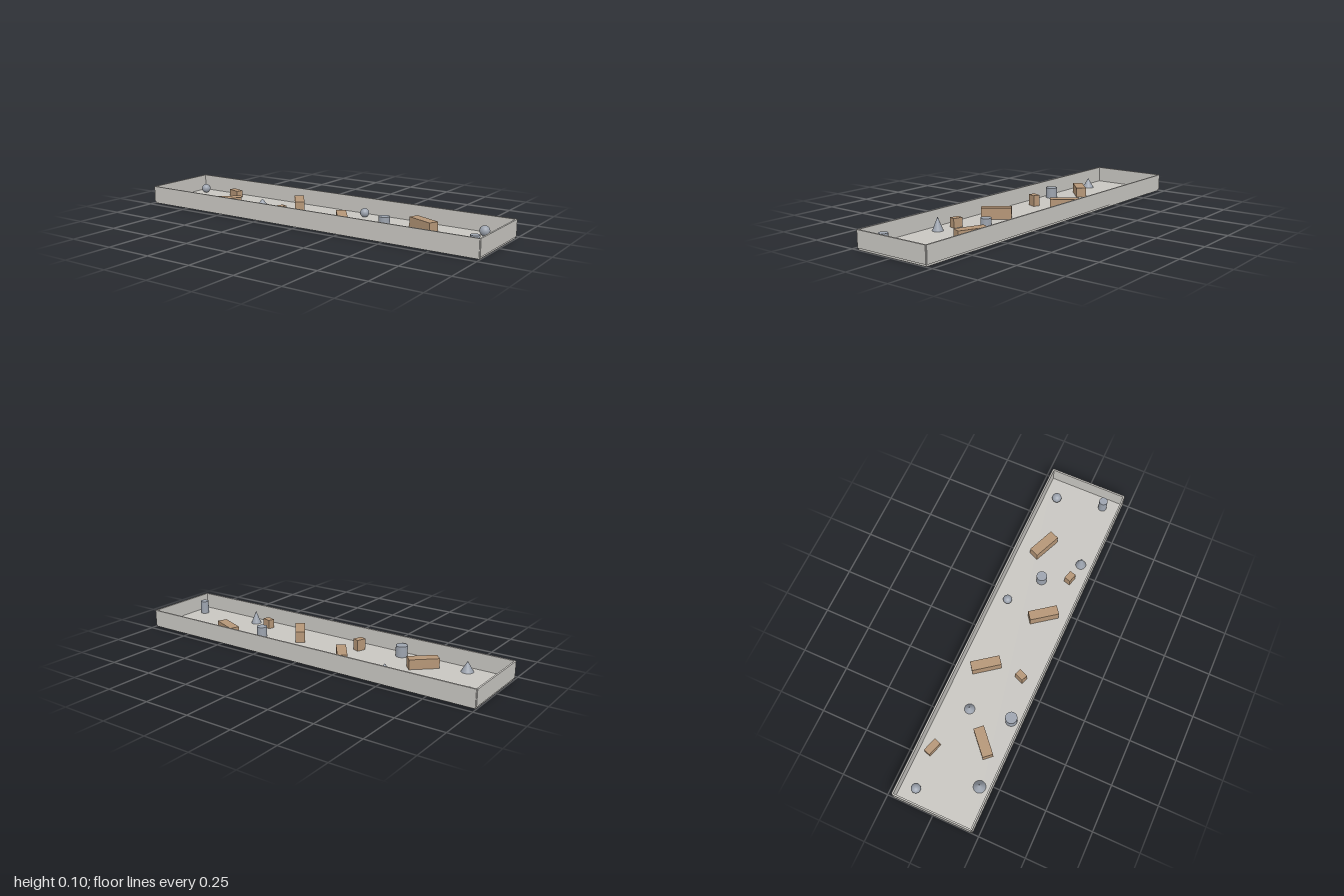
import * as THREE from 'three';

export function createModel() {
  const model = new THREE.Group();
  model.name = 'trayWithBlocks';

  const concrete = new THREE.MeshStandardMaterial({ color: 0xc8c6c1 });
  concrete.name = 'concreteGrey';
  const wood = new THREE.MeshStandardMaterial({ color: 0xb59677 });
  wood.name = 'woodBrown';
  const metal = new THREE.MeshStandardMaterial({ color: 0x9da4af });
  metal.name = 'metalBlueGrey';

  const FLOOR = 0.01;   // top of the floor slab
  const WALL = 0.086;   // wall height
  const T = 0.009;      // wall thickness
  const X = 0.9955;     // wall centre lines
  const Z = 0.2125;

  function add(name, geometry, material, x, y, z, turn = 0) {
    const mesh = new THREE.Mesh(geometry, material);
    mesh.name = name;
    mesh.position.set(x, y, z);
    mesh.rotation.y = turn;
    model.add(mesh);
  }

  // Tray: floor slab with four walls centred on its edges
  add('floor', new THREE.BoxGeometry(2 * X, FLOOR, 2 * Z), concrete, 0, FLOOR / 2, 0);
  for (const s of [1, -1]) {
    const y = FLOOR + WALL / 2;
    add(s > 0 ? 'frontWall' : 'backWall', new THREE.BoxGeometry(2 * X, WALL, T), concrete, 0, y, s * Z);
    add(s > 0 ? 'leftWall' : 'rightWall', new THREE.BoxGeometry(T, WALL, 2 * Z), concrete, s * X, y, 0);
  }

  // Wooden blocks: x, z, length, height, width, turn
  const blocks = [
    [-0.698, -0.147, 0.079, 0.038, 0.038, -0.31],
    [-0.572, 0.078, 0.155, 0.052, 0.055, 0.737],
    [-0.193, -0.083, 0.156, 0.06, 0.051, -0.93],
    [0.187, 0.078, 0.156, 0.06, 0.051, -0.93],
    [0.566, -0.083, 0.157, 0.052, 0.054, -0.4],
    [-0.176, 0.11, 0.05, 0.06, 0.036, 1.21],
    [0.444, 0.123, 0.05, 0.049, 0.036, -0.27],
  ];
  for (const [x, z, l, h, w, turn] of blocks) {
    add('woodBlock', new THREE.BoxGeometry(l, h, w), wood, x, FLOOR + h / 2, z, turn);
  }

  // Balls: x, z, radius
  for (const [x, z, r] of [[-0.917, -0.13, 0.025], [0.193, -0.134, 0.024], [0.869, -0.136, 0.026]]) {
    add('ball', new THREE.SphereGeometry(r, 32, 20), metal, x, FLOOR + r, z);
  }

  // Cones: x, z, radius, height
  for (const [x, z, r, h] of [[-0.778, 0.152, 0.032, 0.056], [-0.436, -0.064, 0.027, 0.034], [0.553, 0.144, 0.028, 0.07]]) {
    add('cone', new THREE.ConeGeometry(r, h, 32), metal, x, FLOOR + h / 2, z);
  }

  // Cylinders: x, z, radius, height
  for (const [x, z, r, h] of [[-0.404, 0.157, 0.031, 0.058], [0.38, -0.016, 0.028, 0.055], [0.93, 0.118, 0.023, 0.072]]) {
    add('cylinder', new THREE.CylinderGeometry(r, r, h, 32), metal, x, FLOOR + h / 2, z);
  }

  return model;
}
